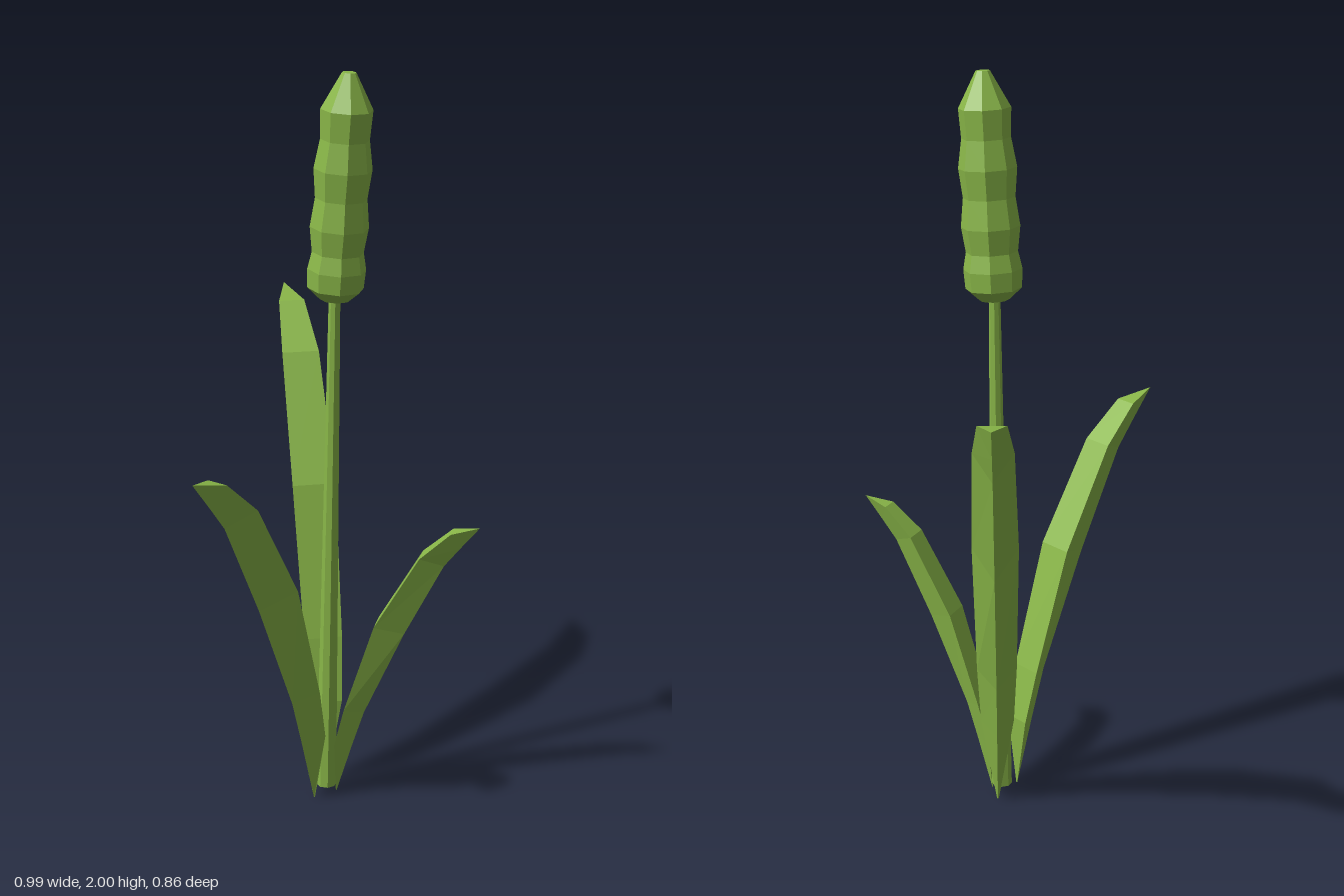
import * as THREE from 'three';

const green = new THREE.MeshStandardMaterial({ color: 0x89b648, flatShading: true });
green.name = 'leaf green';

// Blade with a flat inner face and a keel on the outside, arching towards +x.
// Each section: reach, height, half width, keel reach, keel height.
const SECTIONS = [
  [0, 0, 0.002, 0.002, 0],
  [0, 0.2, 0.037, 0.058, 0.19],
  [0.035, 0.345, 0.044, 0.1, 0.325],
  [0.14, 0.68, 0.05, 0.24, 0.645],
  [0.295, 0.95, 0.043, 0.375, 0.915],
  [0.4, 1.045, 0.03, 0.43, 0.985],
  [0.495, 1.065, 0, 0.495, 1.065],
];

function bladeGeometry() {
  const pos = [];
  const index = [];
  for (const [r, y, w, kr, ky] of SECTIONS) pos.push(r, y, w, kr, ky, 0, r, y, -w);
  for (let i = 0; i < SECTIONS.length - 1; i++) {
    for (let j = 0; j < 3; j++) {
      const a = i * 3 + j, b = i * 3 + (j + 1) % 3;
      index.push(a, b, b + 3);
      if (i < SECTIONS.length - 2) index.push(a, b + 3, a + 3);
    }
  }
  const g = new THREE.BufferGeometry();
  g.setAttribute('position', new THREE.Float32BufferAttribute(pos, 3));
  g.setIndex(index);
  const flat = g.toNonIndexed();
  flat.computeVertexNormals();
  return flat;
}

export function createModel() {
  const model = new THREE.Group();
  model.name = 'reedPlant';
  const add = (name, geometry) => {
    const mesh = new THREE.Mesh(geometry, green);
    mesh.name = name;
    model.add(mesh);
    return mesh;
  };

  // Tapered stem, leaning very slightly forward
  const stem = add('stem', new THREE.CylinderGeometry(0.015, 0.028, 1.42, 8));
  stem.position.set(0.055, 0.73, 0.069);
  stem.rotation.x = 0.013;

  // Wavy eight-sided flower spike: radius, height above its foot
  const profile = [
    [0, 0], [0.04, 0], [0.073, 0.03], [0.076, 0.08], [0.067, 0.125], [0.076, 0.19], [0.067, 0.265],
    [0.075, 0.34], [0.063, 0.415], [0.067, 0.49], [0.018, 0.582], [0, 0.582],
  ].map(([r, y]) => new THREE.Vector2(r, y));
  const spikeGeometry = new THREE.LatheGeometry(profile, 8).toNonIndexed();
  spikeGeometry.computeVertexNormals();
  const spike = add('flowerSpike', spikeGeometry);
  spike.position.set(0.055, 1.418, 0.079);
  spike.rotation.x = 0.068;

  // Three leaves of one shape: name, base x and z, direction x and z, size
  const blade = bladeGeometry();
  for (const [name, x, z, dx, dz, size] of [
    ['backLeaf', 0.098, 0.026, 0.397, -0.456, 1.215],
    ['rightLeaf', 0, 0.06, -1, 0, 1],
    ['frontLeaf', 0.068, 0.084, 0.414, 0.91, 0.768],
  ]) {
    const leaf = add(name, blade);
    leaf.position.set(x, 0, z);
    leaf.rotation.y = Math.atan2(-dz, dx);
    leaf.scale.setScalar(size);
  }
  return model;
}
